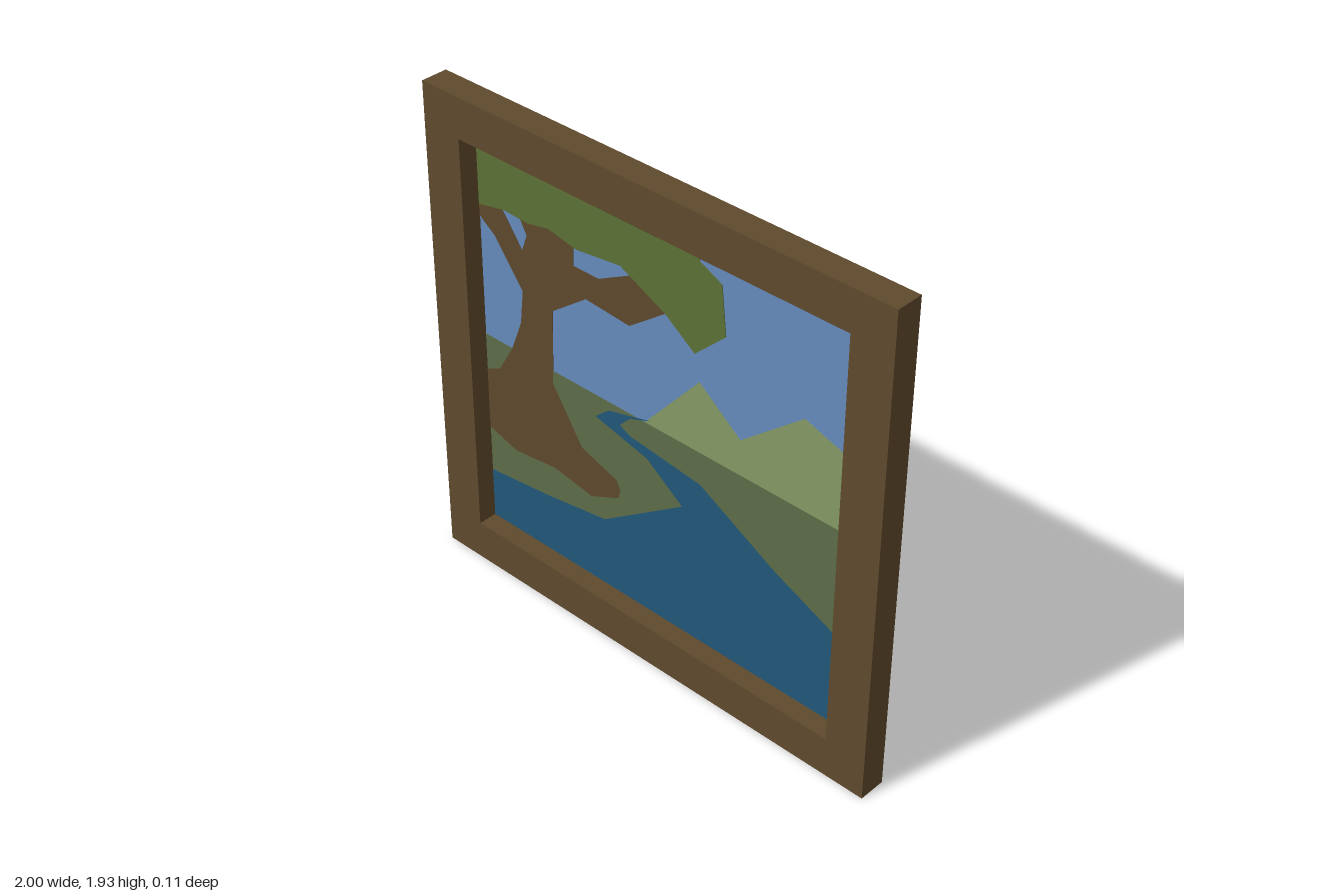
import * as THREE from 'three';

const W = 1, H = 1.935, D = 0.053;                  // outer frame half width, height, half depth
const OX = 0.835, OY0 = 0.16, OY1 = 1.778;          // opening
const PANE_Z = -0.025;

const mat = (name, color, side = THREE.FrontSide) => {
  const m = new THREE.MeshStandardMaterial({ color, side });
  m.name = name;
  return m;
};
const shapeOf = pts => new THREE.Shape(pts.map(p => new THREE.Vector2(...p)));
const rect = (x, y0, y1) => [[-x, y0], [x, y0], [x, y1], [-x, y1]];

export function createModel() {
  const group = new THREE.Group();
  const wood = mat('frame wood', 0x5f4a2d, THREE.DoubleSide);

  const add = (name, geometry, material, parent = group) => {
    const mesh = new THREE.Mesh(geometry, material);
    mesh.name = name;
    parent.add(mesh);
    return mesh;
  };

  // Frame: a front face with thin walls behind it, open at the back
  const frame = new THREE.Group();
  frame.name = 'frame';
  group.add(frame);
  const face = shapeOf(rect(W, 0, H));
  face.holes.push(new THREE.Path(rect(OX, OY0, OY1).map(p => new THREE.Vector2(...p))));
  add('frameFace', new THREE.ShapeGeometry(face), wood, frame).position.z = D;

  const walls = (name, x, y0, y1, back) => {
    const depth = D - back, zMid = (D + back) / 2;
    for (const s of [-1, 1]) {
      const side = add(name + 'Side', new THREE.PlaneGeometry(depth, y1 - y0), wood, frame);
      side.rotation.y = s * Math.PI / 2;
      side.position.set(s * x, (y0 + y1) / 2, zMid);
      const rail = add(name + 'Rail', new THREE.PlaneGeometry(2 * x, depth), wood, frame);
      rail.rotation.x = -s * Math.PI / 2;
      rail.position.set(0, s > 0 ? y1 : y0, zMid);
    }
  };
  walls('outerWall', W, 0, H, -D);
  walls('innerWall', OX, OY0, OY1, PANE_Z);

  // Painted pane: thin plates around one plane, each thicker than the last, seen from both sides
  const layers = [
    ['sky', 0x6589bb, rect(OX, OY0, OY1)],
    ['mountains', 0x859a65, [
      [-0.07, 0.96], [0.835, 0.96], [0.835, 1.255], [0.62, 1.325], [0.36, 1.11], [0.18, 1.25], [-0.05, 0.985]]],
    ['meadow', 0x5d6c47, rect(OX, OY0, 0.97)],
    ['river', 0x215879, [
      [-0.04, 0.985], [-0.23, 0.935], [-0.295, 0.88], [-0.053, 0.823], [0.11, 0.705], [-0.257, 0.45],
      [-0.54, 0.405], [-0.835, 0.37], [-0.835, OY0], [0.835, OY0], [0.835, 0.52], [0.52, 0.66],
      [0.19, 0.84], [-0.13, 0.877], [-0.18, 0.9], [-0.13, 0.95]]],
    ['treeTrunk', 0x5f482d, [
      [-0.835, 0.82], [-0.77, 0.85], [-0.7, 0.97], [-0.65, 1.1], [-0.635, 1.235], [-0.765, 1.405],
      [-0.835, 1.455], [-0.835, 1.55], [-0.74, 1.55], [-0.63, 1.4], [-0.605, 1.47], [-0.65, 1.55],
      [-0.385, 1.55], [-0.385, 1.445], [-0.27, 1.445], [-0.09, 1.54], [0.03, 1.445], [-0.13, 1.325],
      [-0.33, 1.34], [-0.49, 1.22], [-0.5, 0.915], [-0.365, 0.71], [-0.2, 0.655], [-0.18, 0.62],
      [-0.19, 0.58], [-0.32, 0.52], [-0.5, 0.55], [-0.7, 0.525], [-0.835, 0.565]]],
    ['treeCanopy', 0x5a7134, [
      [-0.835, 1.5], [-0.71, 1.525], [-0.6, 1.52], [-0.5, 1.54], [-0.37, 1.515], [-0.17, 1.54],
      [0.03, 1.445], [0.16, 1.352], [0.29, 1.475], [0.27, 1.66], [0.175, 1.705], [0.19, OY1], [-0.835, OY1]]],
  ];
  layers.forEach(([name, color, pts], i) => {
    const depth = 0.001 * (i + 1);
    const geo = new THREE.ExtrudeGeometry(shapeOf(pts), { depth, bevelEnabled: false });
    geo.translate(0, 0, PANE_Z - depth / 2);
    add(name, geo, mat(name + ' paint', color));
  });
  return group;
}
